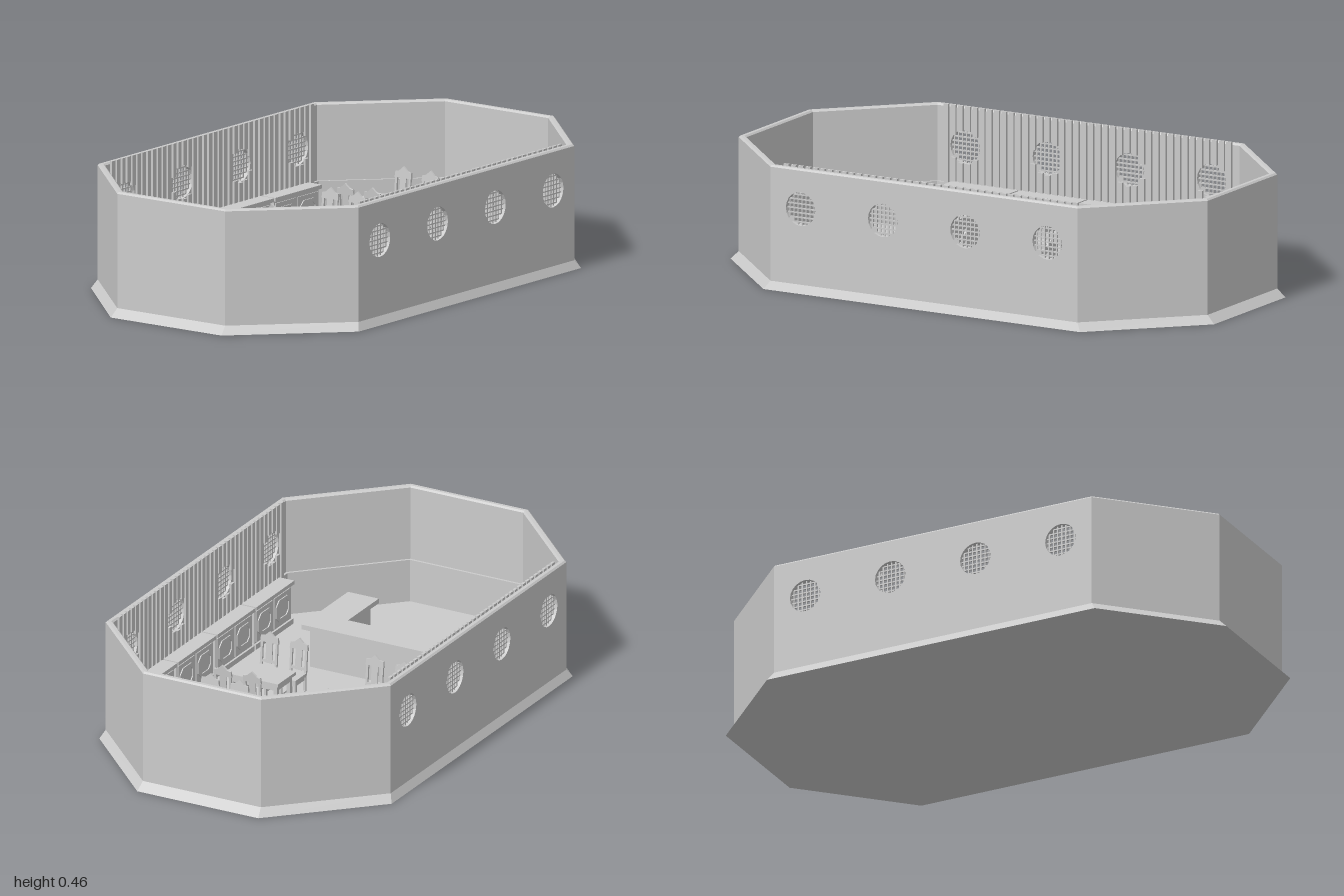
import * as THREE from 'three';

const mat = new THREE.MeshStandardMaterial({ color: 0xcccccc, flatShading: true, side: THREE.DoubleSide });
const WINDOWS = [-0.51, -0.17, 0.17, 0.51], WIN_Y = 0.305, WIN_R = 0.061;
const INSET = 0.025;

function add(parent, name, geo, x = 0, y = 0, z = 0) {
  const m = new THREE.Mesh(geo, mat);
  m.name = name;
  m.position.set(x, y, z);
  parent.add(m);
  return m;
}
const box = (parent, name, w, h, d, x, y, z) => add(parent, name, new THREE.BoxGeometry(w, h, d), x, y, z);

function group(parent, name, x = 0, y = 0, z = 0) {
  const g = new THREE.Group();
  g.name = name;
  g.position.set(x, y, z);
  parent.add(g);
  return g;
}

// Eight-sided outline of the room, moved inwards by d, at height y
function ring(d, y) {
  const x = 0.97 - d, z = 0.58 - d, cx = 0.635 - d * 0.414, cz = 0.24 - d * 0.414;
  return [[x, cz], [cx, z], [-cx, z], [-x, cz], [-x, -cz], [-cx, -z], [cx, -z], [x, -cz]].map(p => [p[0], y, p[1]]);
}
const scaled = (pts, sx, sz) => pts.map(p => [p[0] * sx, p[1], p[2] * sz]);

// Flat faces between successive rings, leaving out the listed sides
function loft(rings, skip = []) {
  const pos = [];
  for (let k = 0; k + 1 < rings.length; k++) {
    const a = rings[k], b = rings[k + 1];
    for (let i = 0; i < 8; i++) {
      if (skip.includes(i)) continue;
      const j = (i + 1) % 8;
      pos.push(...a[i], ...b[i], ...a[j], ...a[j], ...b[i], ...b[j]);
    }
  }
  const g = new THREE.BufferGeometry();
  g.setAttribute('position', new THREE.Float32BufferAttribute(pos, 3));
  g.computeVertexNormals();
  return g;
}

function polygon(points) {
  return new THREE.Shape(points.map(p => new THREE.Vector2(p[0], p[1])));
}
const extrude = (shape, depth) => new THREE.ExtrudeGeometry(shape, { depth, bevelEnabled: false, curveSegments: 10 });

// Long wall with round openings, lattices and vertical planks inside; local +z faces out
function longWall(parent, name) {
  const g = group(parent, name);
  const shape = polygon([[-0.635, 0.01], [0.635, 0.01], [0.635, 0.445], [-0.635, 0.445]]);
  for (const x of WINDOWS) shape.holes.push(new THREE.Path().absarc(x, WIN_Y, WIN_R, 0, Math.PI * 2, true));
  const geo = extrude(shape, INSET);
  const p = geo.attributes.position;
  for (let i = 0; i < p.count; i++) { // mitre the inner corners
    if (p.getZ(i) < 0.01 && Math.abs(p.getX(i)) > 0.63) p.setX(i, Math.sign(p.getX(i)) * (0.635 - INSET * 0.414));
  }
  geo.computeVertexNormals();
  add(g, 'wallPanel', geo, 0, 0, 0.58 - INSET);

  for (const x of WINDOWS) {
    for (let i = -3; i <= 3; i++) {
      const o = i * 0.0165, len = 2 * Math.sqrt(WIN_R * WIN_R - o * o);
      box(g, 'latticeUpright', 0.005, len, 0.006, x + o, WIN_Y, 0.567);
      box(g, 'latticeRail', len, 0.005, 0.006, x, WIN_Y + o, 0.567);
    }
  }
  // Planks stop above and below each opening
  for (let i = 0; i < 40; i++) {
    const x = (i - 19.5) * 0.03, bottom = 0.165, top = 0.456;
    const d = Math.min(...WINDOWS.map(w => Math.abs(w - x)));
    const gap = d < WIN_R ? Math.sqrt(WIN_R * WIN_R - d * d) : 0;
    const spans = gap ? [[bottom, WIN_Y - gap], [WIN_Y + gap, top]] : [[bottom, top]];
    for (const [lo, hi] of spans) box(g, 'plank', 0.02, hi - lo, 0.01, x, (lo + hi) / 2, 0.551);
  }
  return g;
}

// Low cabinet with two framed doors; front faces +z
function cabinet(parent, x) {
  const g = group(parent, 'cabinet', x, 0, -0.52);
  box(g, 'cabinetBody', 0.262, 0.155, 0.056, 0, 0.0875, -0.004);
  box(g, 'cabinetTop', 0.275, 0.014, 0.07, 0, 0.169, 0);
  box(g, 'plinth', 0.27, 0.02, 0.064, 0, 0.02, 0);
  const octagon = (w, h, c) => [[-w, c - h], [c - w, -h], [w - c, -h], [w, c - h], [w, h - c], [w - c, h], [c - w, h], [-w, h - c]];
  for (const s of [-1, 1]) {
    box(g, 'door', 0.118, 0.118, 0.004, s * 0.065, 0.094, 0.026);
    const frame = polygon(octagon(0.05, 0.042, 0.02));
    frame.holes.push(polygon(octagon(0.038, 0.03, 0.015)));
    add(g, 'doorFrame', extrude(frame, 0.005), s * 0.065, 0.094, 0.027);
  }
}

// Chair facing +x, with its tall back at -x
function chair(parent, x, z, turned) {
  const g = group(parent, 'chair', x, 0.01, z);
  if (turned) g.rotation.y = Math.PI;
  box(g, 'seat', 0.078, 0.012, 0.068, 0.008, 0.092, 0);
  box(g, 'seatRail', 0.07, 0.014, 0.06, 0.008, 0.08, 0);
  const back = group(g, 'chairBack', -0.033, 0.09, 0);
  back.rotation.z = 0.09;
  for (const s of [-1, 1]) {
    box(g, 'frontLeg', 0.009, 0.09, 0.009, 0.04, 0.045, s * 0.029);
    box(g, 'backLeg', 0.009, 0.09, 0.009, -0.03, 0.045, s * 0.029);
    box(g, 'sideStretcher', 0.07, 0.006, 0.006, 0.005, 0.03, s * 0.029);
    box(back, 'backPost', 0.008, 0.115, 0.009, 0, 0.057, s * 0.03);
  }
  const crest = polygon([[-0.037, 0.092], [0.037, 0.092], [0.035, 0.112], [0.018, 0.118], [0, 0.134], [-0.018, 0.118], [-0.035, 0.112]]);
  const crestMesh = add(back, 'crest', extrude(crest, 0.008), -0.004, 0, 0);
  crestMesh.rotation.y = Math.PI / 2;
  box(back, 'splat', 0.005, 0.08, 0.026, 0, 0.055, 0);
  box(back, 'lowerRail', 0.006, 0.01, 0.06, 0, 0.022, 0);
}

function diningSet(parent, x, z) {
  const g = group(parent, 'diningSet', x, 0, z);
  box(g, 'tableTop', 0.13, 0.012, 0.21, 0, 0.146, 0);
  box(g, 'tableApron', 0.11, 0.02, 0.19, 0, 0.13, 0);
  for (const sx of [-1, 1]) for (const sz of [-1, 1]) {
    box(g, 'tableLeg', 0.014, 0.12, 0.014, sx * 0.048, 0.07, sz * 0.088);
    chair(g, sx * 0.128, sz * 0.06, sx > 0);
  }
}

// U-shaped counter slab, set in by d all round, between two heights
function counter(parent, name, d, y0, y1) {
  const s = polygon([[-0.567 + d, -0.27 + d], [-0.23 - d, -0.27 + d], [-0.23 - d, 0.257 - d], [-0.567 + d, 0.257 - d],
    [-0.567 + d, 0.13 + d], [-0.345 + d, 0.13 + d], [-0.345 + d, -0.145 - d], [-0.567 + d, -0.145 - d]].map(([x, y]) => [x, y]));
  const m = add(parent, name, extrude(s, y1 - y0), 0, y0, 0);
  m.rotation.x = -Math.PI / 2;
}

export function createModel() {
  const model = new THREE.Group();
  model.name = 'diningRoom';

  // Room shell: underside and skirt, short walls, rim, floor
  const foot = scaled(ring(0, 0), 1.031, 1.026);
  add(model, 'skirt', loft([scaled(foot, 0, 0), foot, ring(0, 0.03)]));
  add(model, 'outerWalls', loft([ring(0, 0.03), ring(0, 0.445)], [1, 5]));
  add(model, 'rim', loft([ring(0, 0.445), ring(0.006, 0.451), ring(INSET - 0.006, 0.451), ring(INSET, 0.445)]));
  add(model, 'innerWalls', loft([ring(INSET, 0.445), ring(INSET, 0.01)], [1, 5]));
  add(model, 'wainscot', loft([ring(INSET, 0.17), ring(INSET + 0.009, 0.17), ring(INSET + 0.009, 0.01)]));
  add(model, 'floor', loft([ring(INSET, 0.01), scaled(ring(INSET, 0.01), 0, 0)]));

  longWall(model, 'frontWall');
  longWall(model, 'backWall').rotation.y = Math.PI;

  // Cabinets along both long walls
  for (const turn of [0, Math.PI]) {
    const row = group(model, 'cabinetRow');
    row.rotation.y = turn;
    for (let i = 0; i < 4; i++) cabinet(row, (i - 1.5) * 0.282);
  }

  counter(model, 'counterTop', 0, 0.158, 0.176);
  counter(model, 'counterBase', 0.022, 0.01, 0.158);

  for (const x of [0.165, 0.595]) for (const z of [-0.217, 0.212]) diningSet(model, x, z);
  return model;
}
